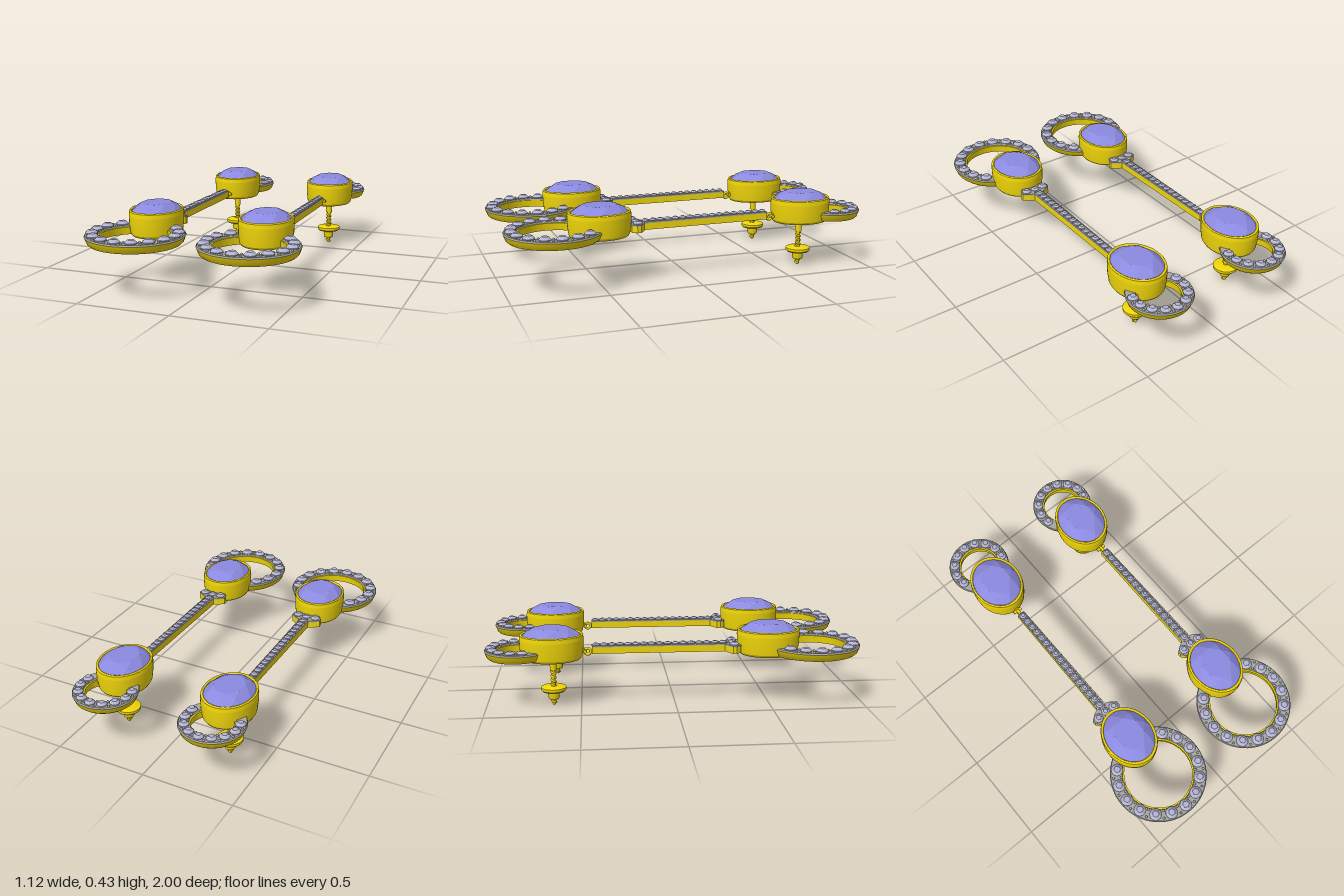
import * as THREE from 'three';
import { mergeGeometries, toCreasedNormals } from 'three/addons/utils/BufferGeometryUtils.js';
import { ConvexGeometry } from 'three/addons/geometries/ConvexGeometry.js';

const material = (color, side = THREE.DoubleSide) => new THREE.MeshStandardMaterial({ color, side });
const gold = material(0xf0d60a);
const silver = material(0xa6a6a2);
const violet = material(0x8c8ae0, THREE.FrontSide);
const clear = material(0xb4b4d2, THREE.FrontSide);

function add(parent, name, geometry, mat, x = 0, y = 0, z = 0) {
  const mesh = new THREE.Mesh(geometry, mat);
  mesh.name = name;
  mesh.position.set(x, y, z);
  parent.add(mesh);
  return mesh;
}

const lathe = (points, segments = 48, start = 0, length = Math.PI * 2) =>
  toCreasedNormals(new THREE.LatheGeometry(points.map(p => new THREE.Vector2(...p)), segments, start, length), 0.6);

// Faceted cut stone: rings of [radius, height, count, angle offset in steps]
function cutStone(rings) {
  const points = [];
  for (const [r, y, n, offset] of rings) {
    for (let i = 0; i < n; i++) {
      const a = ((i + offset) / n) * Math.PI * 2;
      points.push(new THREE.Vector3(r * Math.sin(a), y, r * Math.cos(a)));
    }
  }
  return new ConvexGeometry(points);
}

// Unit accent stone, girdle at y = 0
const accent = cutStone([[0.55, 0.5, 6, 0], [1, 0.05, 12, 0.5], [1, -0.08, 12, 0.5], [0, -0.7, 1, 0]]);

// Spots are [x, z, radius]
function accentStones(parent, name, spots, y) {
  const parts = spots.map(([x, z, r], i) => accent.clone().rotateY(i * 0.7).scale(r, r, r).translate(x, y, z));
  add(parent, name, mergeGeometries(parts), clear);
}

function beads(parent, name, spots, y, r) {
  const parts = spots.map(([x, z]) => new THREE.SphereGeometry(r, 8, 6).translate(x, y, z));
  add(parent, name, mergeGeometries(parts), silver);
}

// Oval open-backed bezel holding a large faceted stone
function ovalSetting(name, z, lift) {
  const group = new THREE.Group();
  group.name = name;
  group.position.set(0, lift, z);
  const bezel = lathe([[0.8, 0.263], [0.9, 0.263], [0.95, 0.275], [0.99, 0.32], [1, 0.37], [0.985, 0.392],
    [0.95, 0.398], [0.9, 0.394], [0.87, 0.375], [0.84, 0.33], [0.8, 0.263]]);
  add(group, 'bezel', bezel.scale(0.138, 1, 0.168), gold);
  const gem = cutStone([[0.55, 0.429, 8, 0.5], [0.76, 0.412, 8, 0], [0.92, 0.388, 16, 0.5],
    [0.91, 0.38, 16, 0.5], [0.55, 0.315, 8, 0.5], [0, 0.285, 1, 0]]);
  add(group, 'ovalGem', gem.scale(0.138, 1, 0.168), violet);
  return group;
}

// Open ring with a stone-set top, both ends running into a bezel
function pavedRing(name, z, inner, outer, arc, step, count, stoneR) {
  const group = new THREE.Group();
  group.name = name;
  group.position.z = z;
  const turn = points => lathe(points, 48, -arc, arc * 2);
  add(group, 'ringBody', turn([[inner + 0.005, 0.266], [outer - 0.022, 0.266], [outer - 0.012, 0.275],
    [outer, 0.306], [inner, 0.306], [inner + 0.005, 0.266]]), gold);
  add(group, 'ringTop', turn([[outer, 0.306], [outer - 0.004, 0.314], [inner + 0.012, 0.314], [inner + 0.009, 0.306]]), silver);
  const mid = (inner + outer) / 2;
  const spots = [], prongs = [];
  for (let i = -count; i <= count; i++) {
    spots.push([mid * Math.sin(i * step), mid * Math.cos(i * step), stoneR]);
    if (i < count) {
      const a = (i + 0.5) * step;
      for (const r of [mid - 0.02, mid + 0.02]) prongs.push([r * Math.sin(a), r * Math.cos(a)]);
    }
  }
  accentStones(group, 'ringStones', spots, 0.319);
  beads(group, 'ringProngs', prongs, 0.316, 0.007);
  return group;
}

// Flat plate from an x/z half outline, mirrored in x
function plate(half, top, depth) {
  const outline = [...half, ...half.map(([x, z]) => [-x, z]).reverse()];
  const shape = new THREE.Shape(outline.map(p => new THREE.Vector2(...p)));
  return new THREE.ExtrudeGeometry(shape, { depth, bevelEnabled: false }).rotateX(Math.PI / 2).translate(0, top, 0);
}

function stoneBar() {
  const group = new THREE.Group();
  group.name = 'stoneBar';
  const half = [[0.021, -0.44], [0.027, 0.265], [0.05, 0.275], [0.084, 0.3], [0.084, 0.32], [0.065, 0.345]];
  add(group, 'barBody', plate(half, 0.314, 0.034), gold);
  add(group, 'barTop', plate(half, 0.322, 0.008), silver);
  const spots = [], prongs = [];
  for (let i = 0; i < 17; i++) {
    const z = -0.418 + i * 0.042;
    spots.push([0, z, 0.0185]);
    for (const x of [-0.017, 0.017]) prongs.push([x, z + 0.021]);
  }
  spots.push([0, 0.305, 0.022], [-0.052, 0.31, 0.025], [0.052, 0.31, 0.025]);
  accentStones(group, 'barStones', spots, 0.325);
  beads(group, 'barProngs', prongs, 0.323, 0.005);

  // Hinge between the bar and the rear setting
  add(group, 'hingeLoop', new THREE.TorusGeometry(0.016, 0.008, 10, 20).rotateY(Math.PI / 2), gold, 0, 0.29, -0.462);
  add(group, 'hingePin', new THREE.CylinderGeometry(0.009, 0.009, 0.05, 12).rotateZ(Math.PI / 2), gold, 0, 0.293, -0.475);
  add(group, 'hingeStub', new THREE.BoxGeometry(0.016, 0.02, 0.03), gold, 0, 0.297, -0.49);
  return group;
}

// Threaded post with its screw-on nut
function screwPost(z) {
  const group = new THREE.Group();
  group.name = 'screwPost';
  group.position.z = z;
  add(group, 'postBridge', new THREE.BoxGeometry(0.24, 0.018, 0.04), gold, 0, 0.268, 0);
  add(group, 'postCollar', new THREE.CylinderGeometry(0.018, 0.018, 0.075, 20), gold, 0, 0.23, 0);
  add(group, 'postCore', lathe([[0, 0], [0.008, 0.003], [0.011, 0.012], [0.011, 0.2]], 16), gold);
  const path = [];
  for (let i = 0; i <= 96; i++) {
    const a = (i / 12) * Math.PI * 2;
    path.push(new THREE.Vector3(0.011 * Math.cos(a), 0.008 + (i / 96) * 0.182, 0.011 * Math.sin(a)));
  }
  add(group, 'postThread', new THREE.TubeGeometry(new THREE.CatmullRomCurve3(path), 128, 0.006, 6), gold);
  add(group, 'nut', lathe([[0.012, 0.035], [0.026, 0.035], [0.029, 0.042], [0.029, 0.078], [0.06, 0.078], [0.067, 0.086],
    [0.067, 0.1], [0.06, 0.104], [0.012, 0.106]], 32), gold);
  return group;
}

function earring(name, x) {
  const group = new THREE.Group();
  group.name = name;
  group.position.x = x;
  const rearRing = pavedRing('smallRing', -0.83, 0.105, 0.17, 2.4, 0.46, 4, 0.027);
  rearRing.rotation.y = Math.PI;
  group.add(
    pavedRing('largeRing', 0.74, 0.18, 0.255, 2.6, 0.39, 6, 0.032),
    rearRing,
    ovalSetting('frontSetting', 0.5, 0),
    ovalSetting('rearSetting', -0.65, -0.007),
    stoneBar(),
    screwPost(-0.645),
  );
  return group;
}

export function createModel() {
  const model = new THREE.Group();
  model.name = 'earringPair';
  model.add(earring('leftEarring', 0.305), earring('rightEarring', -0.305));
  return model;
}
